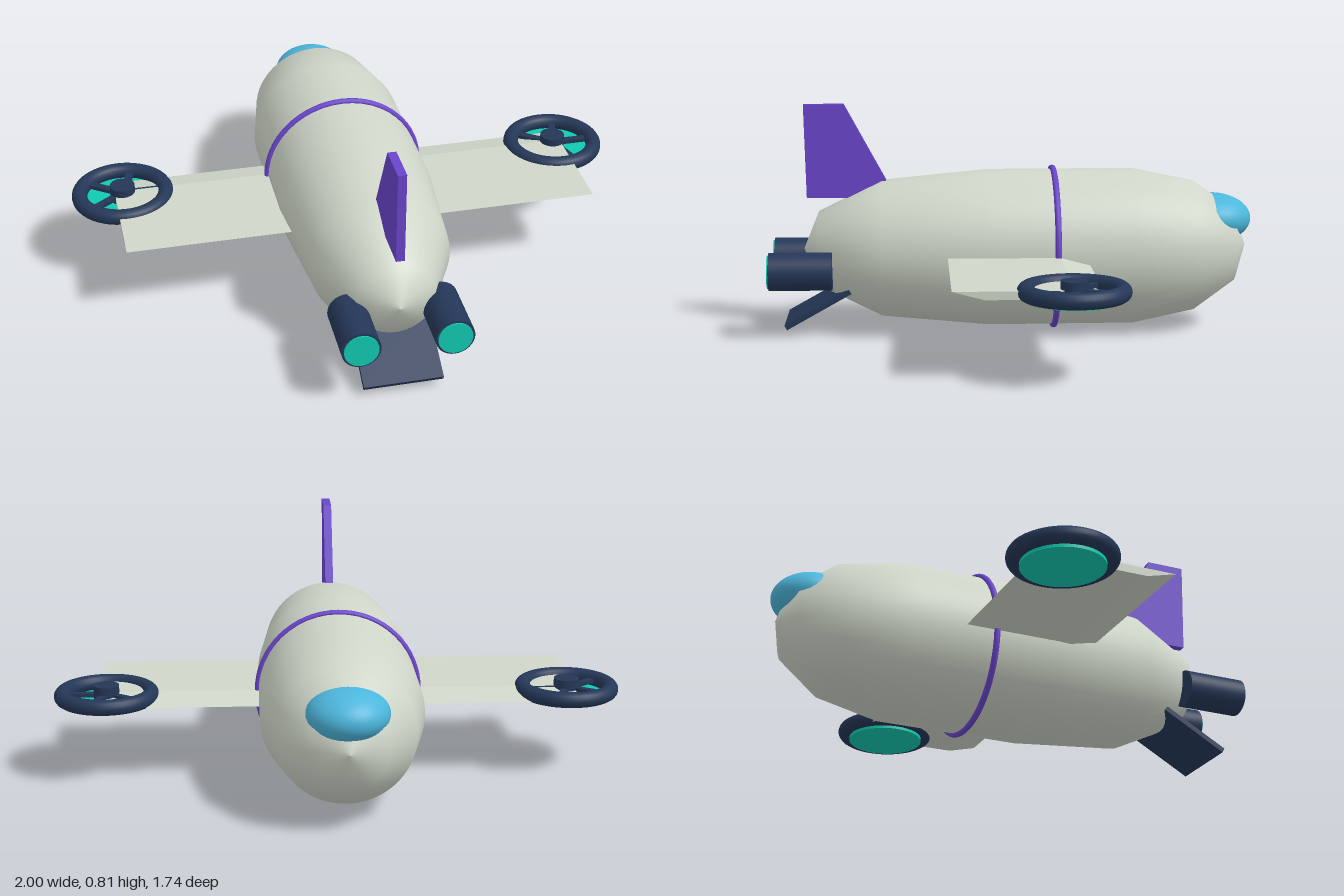
import * as THREE from 'three';

const material = (name, color) => {
  const m = new THREE.MeshStandardMaterial({ color });
  m.name = name;
  return m;
};

export function createModel() {
  const root = new THREE.Group();
  root.name = 'shuttle';
  const hullGrey = material('hull grey', 0xcfd6c9);
  const navy = material('navy', 0x243757);
  const purple = material('purple', 0x6a45cc);
  const teal = material('teal', 0x10c9b0);
  const glassBlue = material('glass blue', 0x4cb6dc);

  const add = (parent, name, geometry, mat, x = 0, y = 0, z = 0) => {
    const mesh = new THREE.Mesh(geometry, mat);
    mesh.name = name;
    mesh.position.set(x, y, z);
    parent.add(mesh);
    return mesh;
  };

  // Plate with a (z, y) outline, extruded across x and centred on x = 0
  const sidePlate = (outline, width) => {
    const shape = new THREE.Shape(outline.map(([z, y]) => new THREE.Vector2(-z, y)));
    return new THREE.ExtrudeGeometry(shape, { depth: width, bevelEnabled: false })
      .translate(0, 0, -width / 2)
      .rotateY(Math.PI / 2);
  };

  // Fuselage: (radius, z) profile turned around the long axis
  const profile = [
    [0, -0.853], [0.133, -0.806], [0.235, -0.66], [0.281, -0.437],
    [0.281, 0.085], [0.245, 0.465], [0.135, 0.69], [0, 0.745],
  ].map(([r, z]) => new THREE.Vector2(r, z));
  add(root, 'fuselage', new THREE.LatheGeometry(profile, 48).rotateX(Math.PI / 2), hullGrey, 0, 0.3, 0);

  // Band around the hull
  add(root, 'hullBand', new THREE.TorusGeometry(0.284, 0.011, 12, 64), purple, 0, 0.3, -0.15);

  // Domed canopy
  const canopy = new THREE.SphereGeometry(1, 32, 16, 0, Math.PI * 2, 0, Math.PI / 2)
    .rotateX(-Math.PI / 2)
    .scale(0.14, 0.09, 0.143);
  add(root, 'canopy', canopy, glassBlue, 0, 0.4, -0.727);

  // Wing: one span with slanted leading and trailing edges
  add(root, 'wing', sidePlate(
    [[-0.26, 0.28], [-0.155, 0.308], [0.235, 0.308], [0.13, 0.28]], 1.69), hullGrey);

  // Tail fin
  add(root, 'tailFin', sidePlate(
    [[0.74, 0.82], [0.732, 0.485], [0.415, 0.485], [0.597, 0.82]], 0.03), purple);

  for (const [side, s] of [['left', 1], ['right', -1]]) {
    // Wing-tip rotor: ring, hub, five spokes and glowing disc
    const rotor = new THREE.Group();
    rotor.name = side + 'Rotor';
    rotor.position.set(s * 0.816, 0.3, -0.155);
    root.add(rotor);
    add(rotor, 'rotorRing', new THREE.TorusGeometry(0.156, 0.028, 16, 48).rotateX(Math.PI / 2), navy);
    add(rotor, 'rotorHub', new THREE.CylinderGeometry(0.045, 0.045, 0.06, 24), navy, 0, 0.005, 0);
    for (let i = 0; i < 5; i++) {
      const spoke = new THREE.BoxGeometry(0.14, 0.014, 0.026).translate(0.08, 0, 0);
      add(rotor, 'rotorSpoke', spoke, navy).rotation.y = i * Math.PI * 2 / 5;
    }
    add(rotor, 'rotorDisc', new THREE.CylinderGeometry(0.14, 0.14, 0.012, 40), teal, 0, -0.028, 0);

    // Tail engine with glowing nozzle
    const engine = new THREE.Group();
    engine.name = side + 'Engine';
    engine.position.set(s * 0.158, 0.245, 0.75);
    root.add(engine);
    add(engine, 'engineBody', new THREE.CylinderGeometry(0.067, 0.067, 0.222, 32).rotateX(Math.PI / 2), navy);
    add(engine, 'engineGlow', new THREE.CylinderGeometry(0.059, 0.059, 0.009, 32).rotateX(Math.PI / 2),
      teal, 0, 0, 0.112);
  }

  // Lowered loading ramp
  add(root, 'ramp', new THREE.BoxGeometry(0.275, 0.018, 0.262), navy, 0, 0.102, 0.693).rotation.x = 0.51;

  return root;
}
